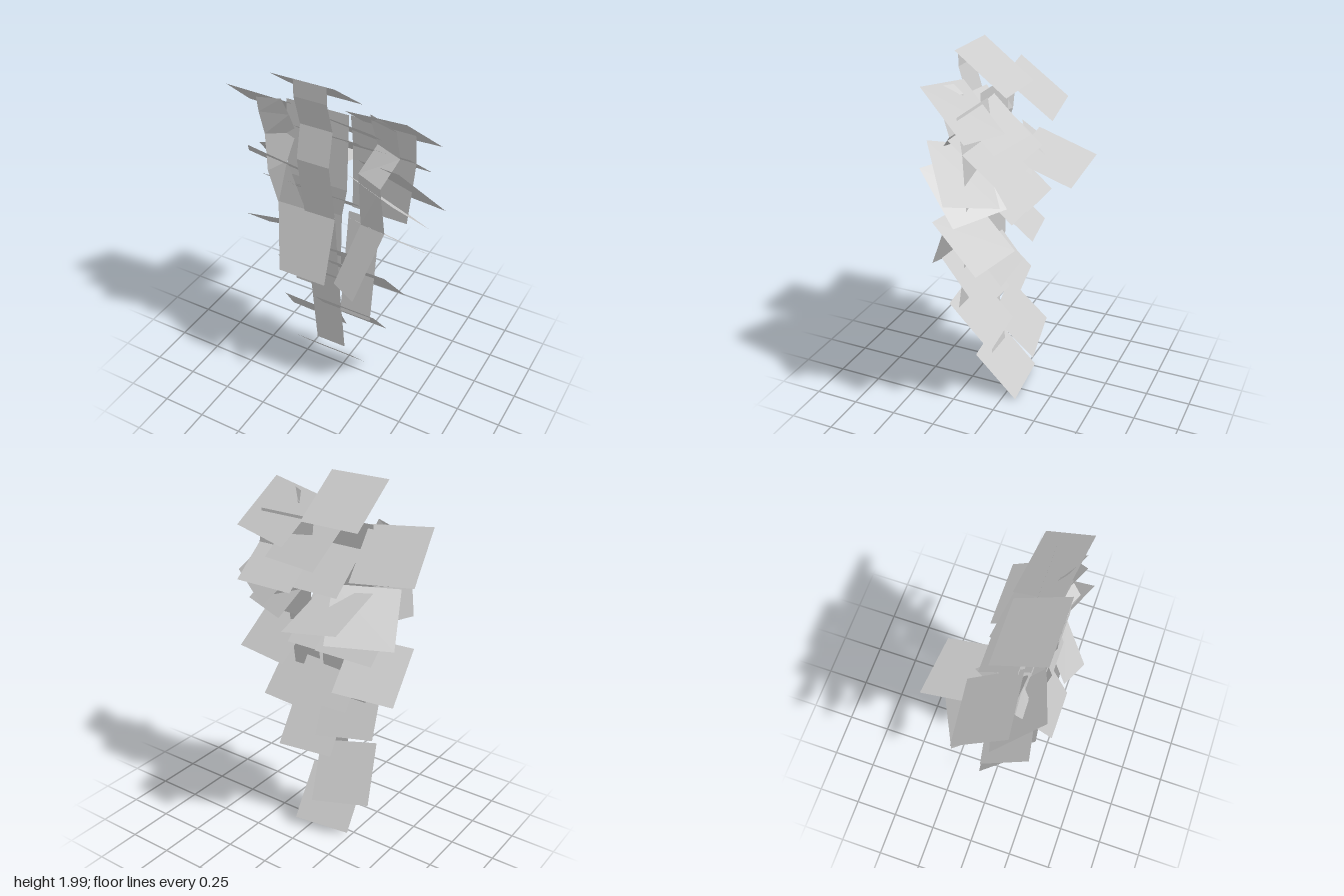
import * as THREE from 'three';

const material = new THREE.MeshStandardMaterial({ color: 0xcccccc, flatShading: true, side: THREE.DoubleSide });
const LEAF_SIZE = 0.35;

// Square leaf card: centre, then tilt, roll and yaw in degrees
function leaf(x, y, z, tilt, roll = 0, yaw = 0) {
  const mesh = new THREE.Mesh(new THREE.PlaneGeometry(LEAF_SIZE, LEAF_SIZE), material);
  const rad = THREE.MathUtils.degToRad;
  mesh.position.set(x, y, z);
  mesh.rotation.set(rad(tilt), rad(yaw), rad(roll), 'YXZ');
  mesh.name = 'leaf';
  return mesh;
}

// Flat ribbon through cross-sections [xLow, yLow, zLow, xHigh, yHigh, zHigh]
function ribbon(name, sections) {
  const index = [];
  for (let i = 0; i < sections.length - 1; i++) {
    const a = i * 2;
    index.push(a, a + 2, a + 1, a + 1, a + 2, a + 3);
  }
  const geometry = new THREE.BufferGeometry();
  geometry.setAttribute('position', new THREE.Float32BufferAttribute(sections.flat(), 3));
  geometry.setIndex(index);
  geometry.computeVertexNormals();
  const mesh = new THREE.Mesh(geometry, material);
  mesh.name = name;
  return mesh;
}

// Ribbon whose edges are level: rows of [xLow, xHigh, y, z]
const levelRibbon = (name, rows) => ribbon(name, rows.map(([a, b, y, z]) => [a, y, z, b, y, z]));

export function createModel() {
  const group = new THREE.Group();
  group.name = 'hangingVine';

  // Leaves at the tip and lower half
  const lowerLeaves = [
    [-0.05, 0.15, 0.05, 41, -5],
    [-0.17, 0.38, 0.01, 38, -14],
    [0.12, 0.56, 0.12, 40, -5],
    [-0.135, 0.74, 0.105, 39, -12],
    [0.2, 0.84, 0.11, 40, 3],
    [0, 0.9, 0.1, 38, 0, 3],
    [-0.29, 1.015, 0.09, 48, 3.5, 13],
    [0.32, 1.115, 0.06, 48, 0, -10],
    [-0.21, 1.245, 0.05, 49],
    [-0.025, 1.245, 0.06, 49],
  ];
  // Leaves crowding the upper half
  const upperLeaves = [
    [-0.33, 1.39, -0.08, 50, 2, 28],
    [-0.295, 1.43, 0.14, 46, -33, -7],
    [-0.18, 1.41, -0.175, 68, -32, -33],
    [0.32, 1.37, 0.114, 46, 0, -24],
    [0.374, 1.47, 0.085, 40, 22, -14],
    [-0.01, 1.575, 0.03, 50],
    [0.26, 1.55, 0, 51],
    [0.12, 1.68, 0.06, 50, 0, -8],
    [-0.415, 1.7, 0.03, 50, -9],
    [0.33, 1.78, 0.1, 48.6, 12],
    [-0.075, 1.895, 0.12, 53],
  ];
  const leaves = new THREE.Group();
  leaves.name = 'leaves';
  for (const row of [...lowerLeaves, ...upperLeaves]) leaves.add(leaf(...row));
  group.add(leaves);

  // Main stem: constant width, bending along its length
  const mainPath = [[2, 0.26], [1.91, 0.26], [1.74, 0.21], [1.56, 0.25], [1.2, 0.19], [0.8, 0.155], [0.25, 0.09]];
  group.add(levelRibbon('mainStem', mainPath.map(([y, z]) => [-0.12, 0.06, y, z])));

  // Side stems
  group.add(ribbon('leftSideStem', [
    [0.25, 1.88, 0.19, 0.37, 1.89, 0.25],
    [0.23, 1.83, 0.15, 0.39, 1.83, 0.2],
    [0.25, 1.68, 0.11, 0.39, 1.66, 0.15],
    [0.19, 1.54, 0.19, 0.34, 1.53, 0.25],
    [0.18, 1.2, 0.14, 0.34, 1.23, 0.19],
    [0.1, 0.88, 0.28, 0.25, 0.87, 0.35],
  ]));
  group.add(ribbon('rightSideStem', [
    [-0.41, 1.78, 0.15, -0.25, 1.82, 0.17],
    [-0.4, 1.7, 0.15, -0.22, 1.73, 0.15],
    [-0.37, 1.58, 0.15, -0.2, 1.62, 0.12],
    [-0.33, 1.4, 0.2, -0.23, 1.47, 0.17],
    [-0.28, 1.21, 0.19, -0.12, 1.23, 0.19],
  ]));

  // Broad stem panel in front
  group.add(ribbon('frontStemPanel', [
    [-0.28, 1.22, 0.19, 0.06, 1.23, 0.19],
    [-0.215, 0.87, 0.31, 0.06, 0.87, 0.31],
  ]));

  // Long stems behind the main one
  group.add(levelRibbon('wideBackStem', [
    [-0.25, 0.1, 1.8, 0.12],
    [-0.25, 0.1, 1.38, 0.14],
    [-0.22, 0.06, 1.2, 0.12],
    [-0.22, 0.06, 0.69, 0.14],
  ]));
  group.add(levelRibbon('leftBackStem', [
    [0.09, 0.435, 1.78, 0.085],
    [0.09, 0.435, 1.6, 0.06],
    [0.09, 0.4, 1.23, 0.06],
  ]));
  group.add(levelRibbon('narrowBackStem', [
    [0.09, 0.27, 1.23, 0.1],
    [0.09, 0.27, 0.9, 0.15],
    [0.09, 0.27, 0.62, 0.19],
  ]));
  return group;
}
